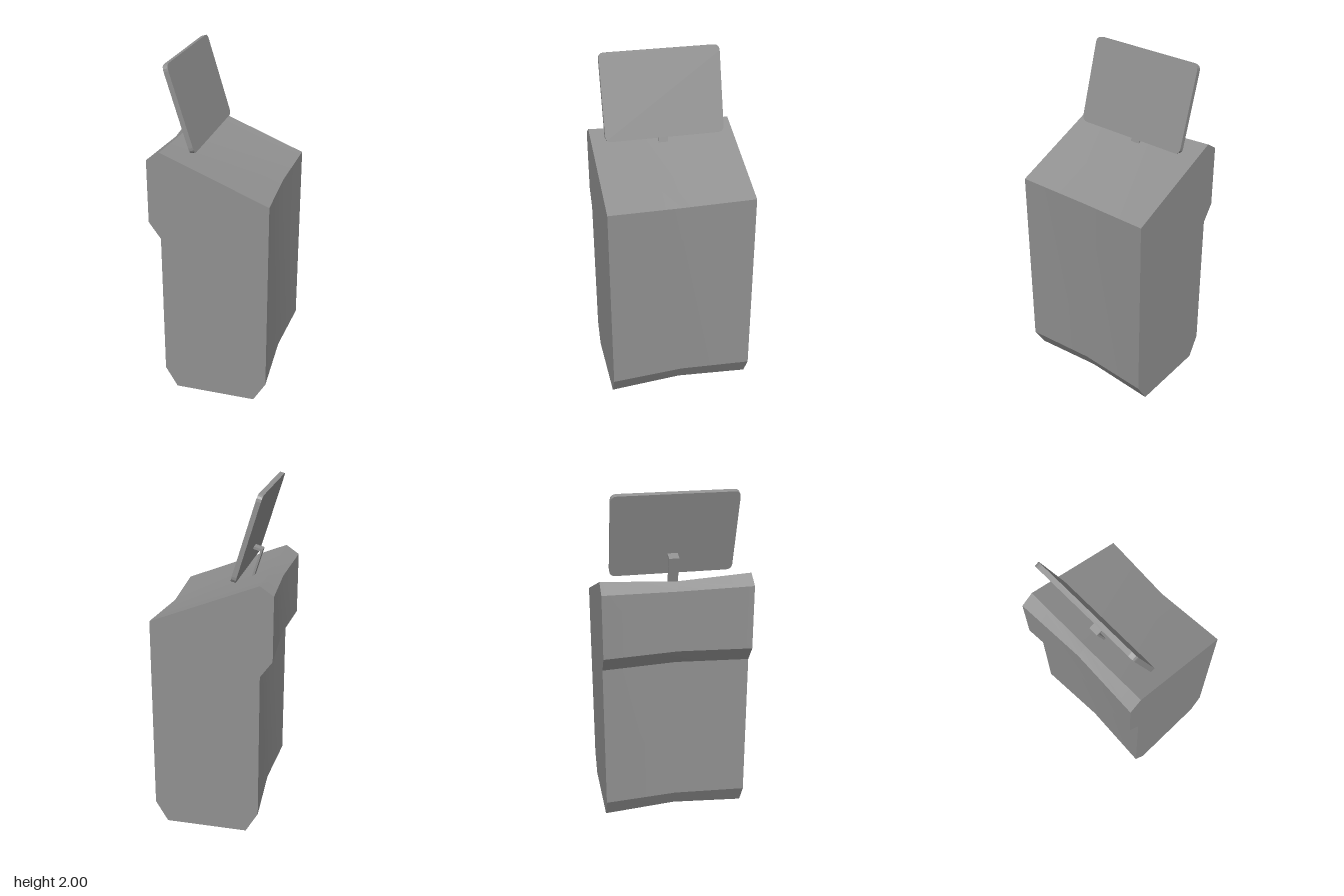
import * as THREE from 'three';

// Cabinet side outline, counter-clockwise
const OUTLINE = [
  [-0.208, 0], [0.274, 0], [0.347, 0.124], [0.347, 1.284], [-0.273, 1.533],
  [-0.35, 1.48], [-0.35, 1.105], [-0.28, 1.008], [-0.28, 0.124],
].map(([x, y]) => new THREE.Vector2(x, y));

// Moves every edge of an outline inwards by d
function inset(points, d) {
  const n = points.length;
  const normal = (a, b) => new THREE.Vector2(a.y - b.y, b.x - a.x).normalize();
  return points.map((p, i) => {
    const n1 = normal(points[(i + n - 1) % n], p);
    const n2 = normal(p, points[(i + 1) % n]);
    return p.clone().addScaledVector(n1.clone().add(n2), d / (1 + n1.dot(n2)));
  });
}

// Skin between two side panels that pinches in at the middle; smooth along z, sharp between faces
function skinGeometry(halfWidth, pinch) {
  const waist = inset(OUTLINE, pinch);
  const sections = [[OUTLINE, -halfWidth], [waist, 0], [OUTLINE, halfWidth]];
  const positions = [], index = [];
  OUTLINE.forEach((_, i) => {
    const j = (i + 1) % OUTLINE.length;
    const base = positions.length / 3;
    for (const [pts, z] of sections) {
      positions.push(pts[i].x, pts[i].y, z, pts[j].x, pts[j].y, z);
    }
    for (let s = 0; s < sections.length - 1; s++) {
      const a = base + s * 2;
      index.push(a, a + 1, a + 3, a, a + 3, a + 2);
    }
  });
  const g = new THREE.BufferGeometry();
  g.setAttribute('position', new THREE.Float32BufferAttribute(positions, 3));
  g.setIndex(index);
  g.computeVertexNormals();
  return g;
}

// Rectangular plate with rounded corners, facing +x
function plateGeometry(width, height, thickness, r) {
  const w = width / 2, h = height / 2;
  const s = new THREE.Shape();
  s.moveTo(-w + r, -h);
  s.lineTo(w - r, -h);
  s.quadraticCurveTo(w, -h, w, -h + r);
  s.lineTo(w, h - r);
  s.quadraticCurveTo(w, h, w - r, h);
  s.lineTo(-w + r, h);
  s.quadraticCurveTo(-w, h, -w, h - r);
  s.lineTo(-w, -h + r);
  s.quadraticCurveTo(-w, -h, -w + r, -h);
  return new THREE.ExtrudeGeometry(s, { depth: thickness, bevelEnabled: false, curveSegments: 4 })
    .translate(0, 0, -thickness / 2)
    .rotateY(Math.PI / 2);
}

export function createModel() {
  const model = new THREE.Group();
  model.name = 'kiosk';
  const grey = new THREE.MeshStandardMaterial({ color: 0x909090 });
  grey.name = 'grey';

  const add = (parent, name, geometry) => {
    const mesh = new THREE.Mesh(geometry, grey);
    mesh.name = name;
    parent.add(mesh);
    return mesh;
  };

  // Cabinet
  const halfWidth = 0.426;
  const cabinet = new THREE.Group();
  cabinet.name = 'cabinet';
  model.add(cabinet);
  add(cabinet, 'cabinetSkin', skinGeometry(halfWidth, 0.022));
  const side = new THREE.ShapeGeometry(new THREE.Shape(OUTLINE));
  add(cabinet, 'frontSide', side).position.z = halfWidth;
  const back = add(cabinet, 'backSide', side.clone().scale(-1, 1, 1).rotateY(Math.PI));
  // Reversed winding so the mirrored face points outwards
  back.geometry.dispose();
  back.geometry = new THREE.ShapeGeometry(
    new THREE.Shape(OUTLINE.map((p) => new THREE.Vector2(-p.x, p.y)))).rotateY(Math.PI);
  back.position.z = -halfWidth;

  // Tilted screen on its bracket
  const screen = new THREE.Group();
  screen.name = 'screen';
  screen.position.set(-0.18, 1.755, 0);
  screen.rotation.z = THREE.MathUtils.degToRad(16.9);
  model.add(screen);
  add(screen, 'screenPanel', plateGeometry(0.706, 0.506, 0.028, 0.036));
  add(screen, 'bracketArm', new THREE.BoxGeometry(0.054, 0.015, 0.058)).position.set(-0.041, -0.128, 0);
  add(screen, 'bracketLeg', new THREE.BoxGeometry(0.012, 0.165, 0.058)).position.set(-0.062, -0.2175, 0);

  return model;
}
